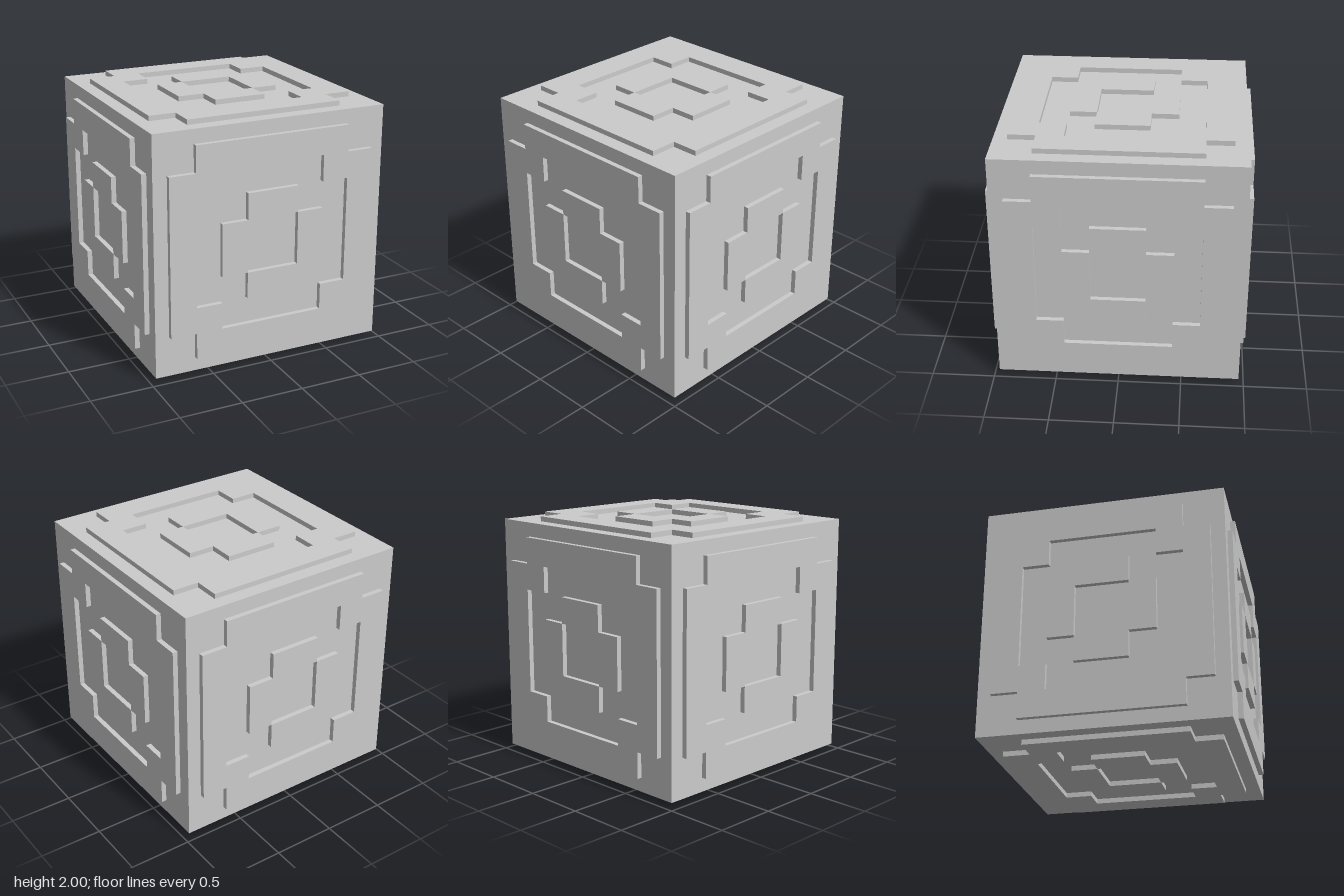
import * as THREE from 'three';

const HALF = 0.96;    // half the core cube
const RAISE = 0.04;   // height of the raised panels
const U = 0.212;      // spacing of the panel pattern

const material = new THREE.MeshStandardMaterial({ color: 0xcccccc, flatShading: true });

// Square with a notch cut from each corner: a = half width, b = half length of each side
function notchedPoints(a, b) {
  return [
    [b, -a], [b, -b], [a, -b], [a, b], [b, b], [b, a],
    [-b, a], [-b, b], [-a, b], [-a, -b], [-b, -b], [-b, -a],
  ].map(([x, y]) => new THREE.Vector2(x, y));
}

// Raised frame with a notched outline and a notched opening
function frameGeometry() {
  const shape = new THREE.Shape(notchedPoints(4 * U, 3 * U));
  shape.holes.push(new THREE.Path(notchedPoints(3 * U, 2 * U)));
  return new THREE.ExtrudeGeometry(shape, { depth: RAISE, bevelEnabled: false });
}

export function createModel() {
  const model = new THREE.Group();
  model.name = 'panelledCube';

  const core = new THREE.Mesh(new THREE.BoxGeometry(2 * HALF, 2 * HALF, 2 * HALF), material);
  core.name = 'core';
  core.position.y = 1;
  model.add(core);

  const frameGeo = frameGeometry();
  const tileGeo = new THREE.BoxGeometry(2 * U, U, RAISE);

  // The same raised pattern on all six faces
  const faces = {
    front: [0, 0], left: [0, Math.PI / 2], back: [0, Math.PI],
    right: [0, -Math.PI / 2], top: [-Math.PI / 2, 0], bottom: [Math.PI / 2, 0],
  };
  for (const [name, [rx, ry]] of Object.entries(faces)) {
    const face = new THREE.Group();
    face.name = name + 'Panel';
    face.position.y = 1;
    face.rotation.set(rx, ry, 0);

    const frame = new THREE.Mesh(frameGeo, material);
    frame.name = name + 'Frame';
    frame.position.z = HALF;
    face.add(frame);

    // Four tiles around an open square centre
    for (let i = 0; i < 4; i++) {
      const angle = i * Math.PI / 2;
      const tile = new THREE.Mesh(tileGeo, material);
      tile.name = name + 'Tile' + (i + 1);
      tile.position.set(-Math.sin(angle) * 1.5 * U, Math.cos(angle) * 1.5 * U, HALF + RAISE / 2);
      tile.rotation.z = angle;
      face.add(tile);
    }
    model.add(face);
  }
  return model;
}
